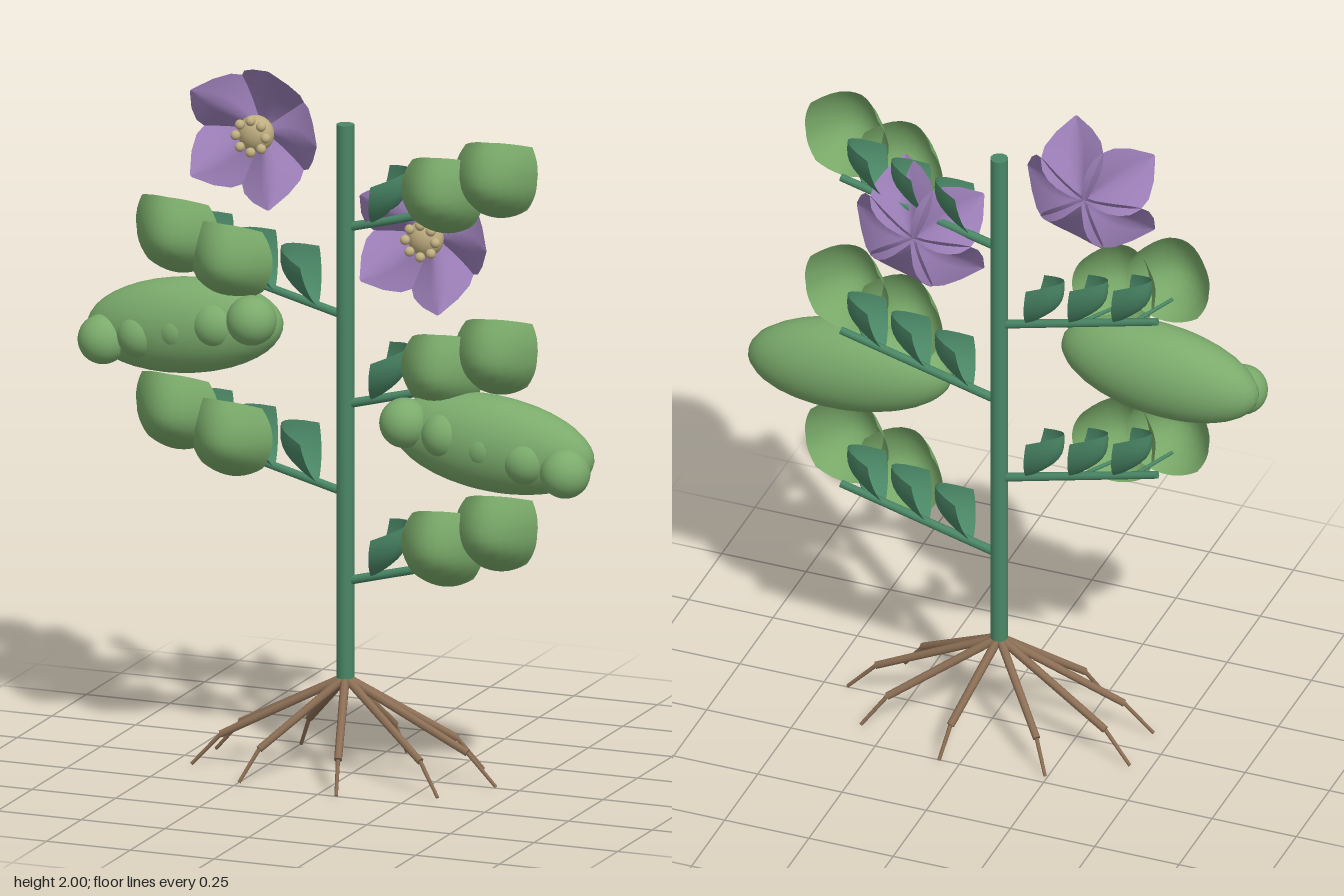
import * as THREE from 'three';

const V = (x, y, z) => new THREE.Vector3(x, y, z);
const STEM_X = -0.02;

function mat(name, color, open) {
  const m = new THREE.MeshStandardMaterial({ color });
  m.name = name;
  if (open) m.side = THREE.DoubleSide;
  return m;
}

function add(parent, name, geometry, material, x = 0, y = 0, z = 0) {
  const m = new THREE.Mesh(geometry, material);
  m.name = name;
  m.position.set(x, y, z);
  parent.add(m);
  return m;
}

// Tapered round bar between two points
function bar(parent, name, a, b, r0, r1, material) {
  const d = b.clone().sub(a);
  const m = add(parent, name, new THREE.CylinderGeometry(r1, r0, d.length(), 8), material);
  m.position.copy(a).addScaledVector(d, 0.5);
  m.quaternion.setFromUnitVectors(V(0, 1, 0), d.normalize());
  return m;
}

// Curved sheet: rule(u, v) gives a point, with u and v from -1 to 1
function sheet(n, rule) {
  const g = new THREE.PlaneGeometry(2, 2, n, n);
  const p = g.attributes.position;
  for (let i = 0; i < p.count; i++) p.setXYZ(i, ...rule(p.getX(i), p.getY(i)));
  g.computeVertexNormals();
  return g;
}

// Scooped leaf: bulges forward, its base runs back to the branch, open at the top
const scoopedLeaf = sheet(10, (u, v) => {
  const c = 0.14 * Math.max(0, u) * Math.max(0, v);
  const drop = v < 0 ? v * v : 0.4 * v * v;
  return [
    0.123 * (u * (1 - 0.26 * v * v) + c),
    0.116 * (v * (1 - 0.26 * u * u) + c * 0.7),
    0.118 * (1 - 0.95 * u * u) * (1 - drop),
  ];
});

// Small folded leaf: a fan that opens upward from the branch
const foldedLeaf = sheet(8, (u, v) => {
  const t = (v + 1) / 2;
  const w = 0.07 * Math.sin((Math.PI / 2) * Math.pow(t, 0.8));
  return [
    0.01 + 0.11 * t + 0.04 * (1 - u * u) * Math.sin(Math.PI * t) - 0.085 * u * u * t,
    0.165 * t - 0.025 * u * u * t - 0.015 * u * t,
    0.003 + w * u,
  ];
});

// Pointed petal along +x, cupped forward, with a middle ridge
const petalWidth = [0.012, 0.035, 0.06, 0.08, 0.094, 0.098, 0.088, 0.056, 0.004];
const petalGeo = sheet(8, (u, v) => {
  const t = (u + 1) / 2;
  return [
    0.208 * t,
    petalWidth[Math.round(t * 8)] * v,
    -0.04 + 0.11 * Math.pow(t, 1.3) - 0.045 * Math.abs(v) * Math.sin(Math.PI * t),
  ];
});

export function createModel() {
  const root = new THREE.Group();
  root.name = 'floweringPlant';
  const stemGreen = mat('stem green', 0x4a8766);
  const darkGreen = mat('dark leaf green', 0x4a8766, true);
  const leafGreen = mat('leaf green', 0x78a868, true);
  const podGreen = mat('pod green', 0x7bab6c);
  const purple = mat('petal purple', 0x9c7fb8, true);
  const tan = mat('stamen tan', 0xbfae80);
  const brown = mat('root brown', 0x8c6f55);

  // Stem
  add(root, 'stem', new THREE.CylinderGeometry(0.025, 0.025, 1.58, 12), stemGreen, STEM_X, 1.065, 0);

  // Nine spreading roots, each a thick bar and a thin tip
  const roots = new THREE.Group();
  roots.name = 'roots';
  root.add(roots);
  for (let i = 0; i < 9; i++) {
    const a = (i * Math.PI * 2) / 9;
    const c = Math.cos(a), s = Math.sin(a);
    const knee = V(STEM_X + 0.365 * c, 0.095, 0.21 * s);
    bar(roots, 'rootUpper', V(STEM_X, 0.275, 0), knee, 0.013, 0.011, brown);
    bar(roots, 'rootTip', knee, V(STEM_X + 0.45 * c, 0.006, 0.26 * s), 0.006, 0.005, brown);
  }

  // Branches alternate sides, each with folded and scooped leaves
  for (let i = 0; i < 5; i++) {
    const g = new THREE.Group();
    g.name = 'leafyBranch';
    g.position.set(STEM_X, 0.55 + i * 0.2525, 0);
    g.scale.x = i % 2 ? -1 : 1;
    root.add(g);
    bar(g, 'branch', V(0, 0, 0), V(0.47, 0.12, 0), 0.013, 0.011, stemGreen);
    for (const x of [0.07, 0.2, 0.33]) add(g, 'foldedLeaf', foldedLeaf, darkGreen, x, x * 0.25, 0);
    for (const [x, y] of [[0.315, 0.145], [0.475, 0.205]]) {
      add(g, 'scoopedLeaf', scoopedLeaf, leafGreen, x, y, 0.055);
      bar(g, 'leafStalk', V(x - 0.08, (x - 0.08) * 0.25, 0), V(x, y - 0.07, 0.1), 0.006, 0.005, stemGreen);
    }
  }

  // Pods: a long ellipsoid with five peas along its front
  const ball = new THREE.SphereGeometry(1, 32, 20);
  for (const [x, y, z, tilt, gap, half] of [
    [0.455, 1.012, 0.083, -0.2, 0.12, 0.302],
    [-0.482, 1.245, 0.04, 0.22, 0.111, 0.292],
  ]) {
    const g = new THREE.Group();
    g.name = 'pod';
    g.position.set(x, y, z);
    root.add(g);
    const shell = add(g, 'podShell', ball, podGreen);
    shell.scale.set(half, 0.135, 0.112);
    shell.rotation.z = tilt * 0.5;
    for (let i = -2; i <= 2; i++) {
      const d = i * gap;
      const depth = 0.046 + 0.003 * i * i;
      add(g, 'pea', ball, podGreen, d, d * tilt, depth).scale.setScalar(0.07);
    }
  }

  // Flowers: five petals round a centre ringed with stamens
  for (const [x, y] of [[-0.285, 1.803], [0.222, 1.555]]) {
    const g = new THREE.Group();
    g.name = 'flower';
    g.position.set(x, y, 0);
    root.add(g);
    for (let i = 0; i < 5; i++) {
      add(g, 'petal', petalGeo, purple).rotation.z = (i * Math.PI * 2) / 5;
    }
    add(g, 'flowerCentre', ball, tan, 0, 0, 0.005).scale.set(0.052, 0.052, 0.04);
    for (let i = 0; i < 8; i++) {
      const a = (i * Math.PI) / 4;
      add(g, 'stamen', ball, tan, 0.045 * Math.cos(a), 0.045 * Math.sin(a), 0.045).scale.setScalar(0.014);
    }
  }
  return root;
}
